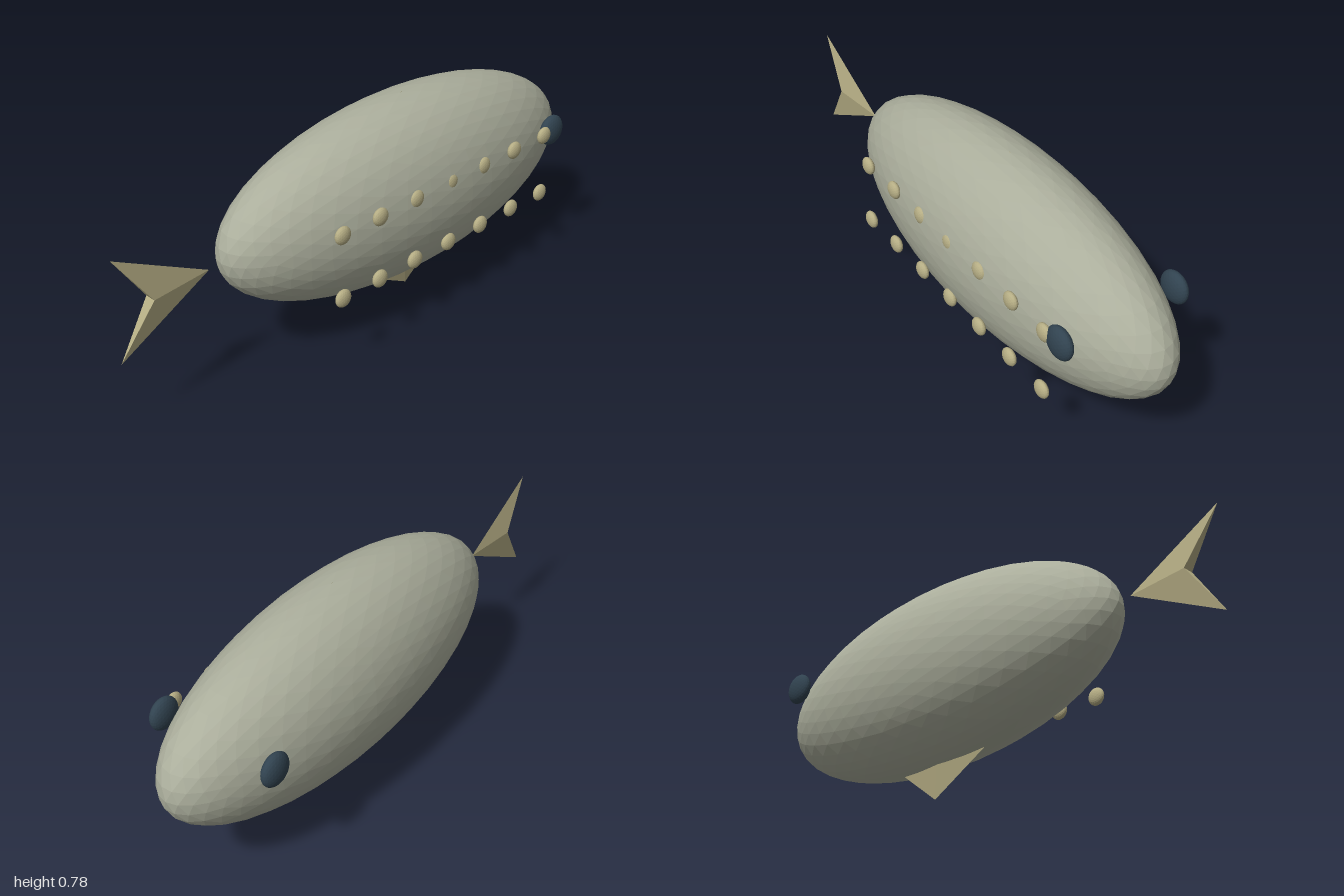
import * as THREE from 'three';

const mat = (name, color) => {
  const m = new THREE.MeshStandardMaterial({ color, flatShading: true });
  m.name = name;
  return m;
};

export function createModel() {
  const fish = new THREE.Group();
  fish.name = 'fish';
  const skin = mat('greyGreenSkin', 0xabae9c);
  const fin = mat('khakiFin', 0xb5ad84);
  const dark = mat('darkBlueEye', 0x314350);

  // Faceted ellipsoid
  const ellipsoid = (name, detail, material, pos, radii) => {
    const mesh = new THREE.Mesh(new THREE.IcosahedronGeometry(1, detail), material);
    mesh.name = name;
    mesh.position.set(...pos);
    mesh.scale.set(...radii);
    fish.add(mesh);
  };

  // Fin: a tip and two corners in the z = 0 plane, thickened at a middle point
  const addFin = (name, tip, a, b, mid, half) => {
    const front = [...mid, half], back = [...mid, -half];
    const [t, p, q] = [tip, a, b].map(v => [...v, 0]);
    const faces = [t, p, front, t, front, q, t, back, p, t, q, back, p, back, front, q, front, back];
    const geo = new THREE.BufferGeometry();
    geo.setAttribute('position', new THREE.Float32BufferAttribute(faces.flat(), 3));
    geo.computeVertexNormals();
    const mesh = new THREE.Mesh(geo, fin);
    mesh.name = name;
    fish.add(mesh);
  };

  ellipsoid('body', 7, skin, [0.198, 0.444, 0], [0.802, 0.33, 0.252]);
  for (const side of [1, -1]) {
    ellipsoid(side > 0 ? 'frontEye' : 'backEye', 4, dark, [0.766, 0.516, 0.219 * side], [0.057, 0.057, 0.028]);
  }

  // Two rows of spots along the front flank
  for (const y of [0.518, 0.285]) {
    for (let i = 0; i < 7; i++) {
      ellipsoid('spot', 3, fin, [-0.301 + i * 0.168, y, 0.232], [0.032, 0.032, 0.017]);
    }
  }

  // Tail with a notch, belly fin, and the dorsal fin that barely breaks the back
  addFin('tailFin', [-0.652, 0.444], [-1, 0.626], [-1, 0.262], [-0.875, 0.444], 0.02);
  addFin('bellyFin', [0.24, 0], [0.46, 0.17], [-0.09, 0.17], [0.2, 0.17], 0.028);
  addFin('dorsalFin', [0.2, 0.776], [0.0, 0.7], [0.4, 0.7], [0.2, 0.7], 0.02);
  return fish;
}
